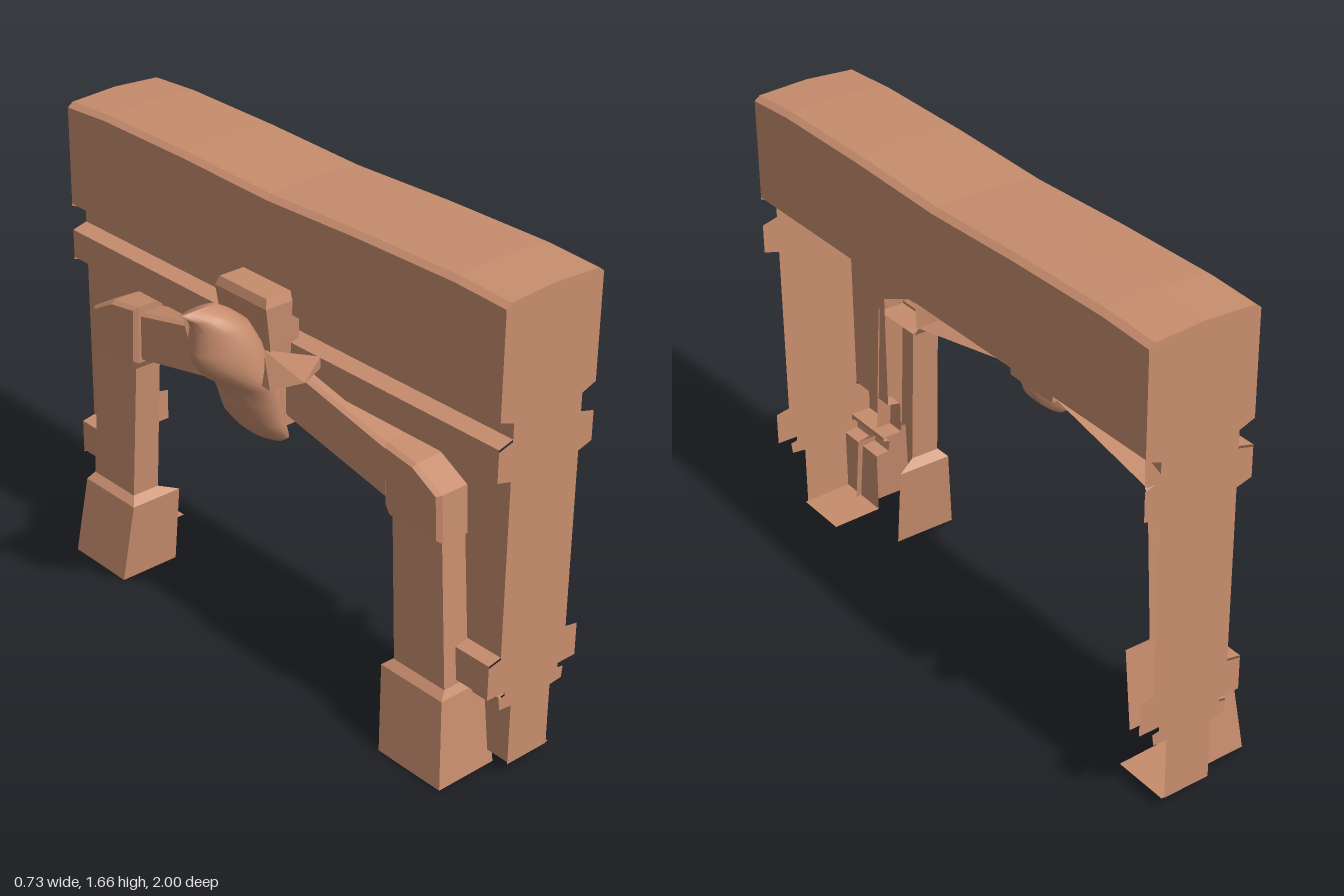
import * as THREE from 'three';
import { ConvexGeometry } from 'three/addons/geometries/ConvexGeometry.js';

const clay = new THREE.MeshStandardMaterial({ color: 0xc68c6d, side: THREE.DoubleSide });
clay.name = 'terracotta';

// Skin through rings of [x, y, z] points; closed rings wrap round, smooth skins share normals.
function loft(rings, { closed = false, smooth = false, capFirst = false, capLast = false } = {}) {
  const n = rings[0].length;
  const index = [];
  for (let i = 0; i < rings.length - 1; i++) {
    for (let j = 0; j < (closed ? n : n - 1); j++) {
      const a = i * n + j, b = i * n + (j + 1) % n;
      index.push(a, b, b + n, a, b + n, a + n);
    }
  }
  const last = (rings.length - 1) * n;
  for (let j = 1; j < n - 1; j++) {
    if (capFirst) index.push(0, j + 1, j);
    if (capLast) index.push(last, last + j, last + j + 1);
  }
  let g = new THREE.BufferGeometry();
  g.setAttribute('position', new THREE.Float32BufferAttribute(rings.flat(2), 3));
  g.setIndex(index);
  if (!smooth) g = g.toNonIndexed();
  g.computeVertexNormals();
  return g;
}

export function createModel() {
  const root = new THREE.Group();
  root.name = 'gateway';
  const add = (name, geometry) => {
    const m = new THREE.Mesh(geometry, clay);
    m.name = name;
    root.add(m);
    return m;
  };

  // Lintel and moulding: an open profile swept along z, with a gently sagging top
  const mid = 0.165;
  const crown = [[0.36, 1.63], [0.34, 1.645], [mid, 1.655], [-0.01, 1.645], [-0.03, 1.63]];
  const moulding = [[-0.03, 1.28], [0.025, 1.26], [0.025, 1.2], [-0.03, 1.185], [-0.03, 1.085], [0.025, 1.07]];
  const lintel = [[0.31, 1.26], [0.36, 1.28], ...crown, ...moulding];
  const zs = [-1, -0.8, -0.4, 0, 0.4, 0.8, 1];
  const rise = [-0.008, 0.003, 0, -0.012, 0, 0.003, -0.008];
  add('lintel', loft(zs.map((z, i) => lintel.map(([x, y]) => [x, y + (y > 1.5 ? rise[i] : 0), z]))));

  // Leg profile from the moulding to the base plate
  const legSide = [[0.025, 1.07], [0.025, 0.46], [-0.025, 0.45], [-0.025, 0.335], [0.05, 0.335],
    [0.05, 0.32], [0.025, 0.315], [0.03, 0.275], [0.08, 0.27], [0.08, 0.05]];
  const legProfile = [...legSide, [0.26, 0.045]];

  // End panel: outer silhouette of crown, mouldings and leg, mirrored about its middle
  const half = [...crown.slice(3), ...moulding, ...legSide.slice(1)];
  const mirrored = half.map(([x, y]) => [2 * mid - x, y]).reverse();
  const outline = new THREE.Shape([...half, ...mirrored, [mid, 1.655]].map(([x, y]) => new THREE.Vector2(x, y)));

  for (const s of [1, -1]) {
    const side = s > 0 ? 'front' : 'back';
    add(side + 'EndPanel', new THREE.ShapeGeometry(outline))
      .position.set(0, -0.008, s);
    add(side + 'LegWall', loft([s, 0.8 * s].map(z => legProfile.map(([x, y]) => [x, y, z]))));

    // Spandrel wall with its stepped arch edge
    const spandrel = [[0.8, 1.08], [0.8, 0.88], [0.5, 1.01], [0.23, 1.08]];
    add(side + 'Spandrel', loft([spandrel.map(([z, y]) => [0.025, y, z * s])], { capFirst: true }));

    // Hollow pillar: splayed foot, bevel and tapering shaft, open towards the wall
    const pillar = [
      // y, outer x, wall x, inner z, outer z
      [0, -0.13, 0.10, 0.65, 0.92],
      [0.295, -0.10, 0.10, 0.62, 0.885],
      [0.32, -0.075, 0.03, 0.65, 0.87],
      [0.83, -0.07, 0.03, 0.62, 0.83],
    ];
    add(side + 'Pillar', loft(pillar.map(([y, xf, xb, zi, zo]) =>
      [[xb, y, zi * s], [xf, y, zi * s], [xf, y, zo * s], [xb, y, zo * s]])));

    // Bevelled arch stones, open towards the wall
    const stone = (name, poly, xf) => {
      const cz = poly.reduce((t, p) => t + p[0], 0) / poly.length;
      const cy = poly.reduce((t, p) => t + p[1], 0) / poly.length;
      const ring = (x, k) => poly.map(([z, y]) => [x, cy + (y - cy) * k, (cz + (z - cz) * k) * s]);
      add(side + name, loft([ring(0.025, 1), ring(xf + 0.015, 1), ring(xf, 0.9)], { closed: true, capLast: true }));
    };
    stone('CornerStone', [[0.62, 0.82], [0.84, 0.82], [0.83, 0.98], [0.72, 1.04], [0.59, 1.06], [0.6, 0.85]], -0.09);
    stone('ArchBar', [[0.12, 0.955], [0.61, 0.855], [0.61, 1.03], [0.12, 1.14]], -0.07);

    // Ear
    const ear = [[-0.18, 1.1, 0.19], [-0.13, 1.15, 0.29], [-0.03, 1.19, 0.25], [-0.03, 1.15, 0.25],
      [-0.15, 1.08, 0.09], [-0.12, 1.18, 0.09], [-0.04, 1.13, 0.1]];
    add(side + 'Ear', new ConvexGeometry(ear.map(([x, y, z]) => new THREE.Vector3(x, y, z * s))));
  }

  // Keystone with a bevelled top
  const box = (y, xf, w) => [[0, y, w], [xf, y, w], [xf, y, -w], [0, y, -w]];
  add('keystone', loft([box(0.9, -0.06, 0.11), box(1.1, -0.11, 0.11), box(1.2, -0.115, 0.115),
    box(1.33, -0.135, 0.12), box(1.36, -0.125, 0.11)], { closed: true, capLast: true }));

  // Carved head: ellipse sections from the beard up to the pointed crest
  const head = [
    // y, front x, back x, half width
    [0.845, -0.09, -0.02, 0.10],
    [0.87, -0.115, -0.02, 0.13],
    [0.92, -0.155, -0.03, 0.135],
    [1.0, -0.185, -0.04, 0.135],
    [1.06, -0.215, -0.05, 0.135],
    [1.1, -0.27, -0.06, 0.13],
    [1.15, -0.31, -0.07, 0.12],
    [1.2, -0.325, -0.09, 0.11],
    [1.27, -0.315, -0.13, 0.09],
    [1.31, -0.335, -0.18, 0.055],
    [1.34, -0.365, -0.23, 0.02],
  ];
  const sides = 20;
  add('carvedHead', loft(head.map(([y, xf, xb, w]) => Array.from({ length: sides }, (_, i) => {
    const t = (i / sides) * Math.PI * 2;
    const c = Math.cos(t);
    return [(xf + xb) / 2 + (xb - xf) / 2 * c, y, w * Math.sin(t) * (1 + 0.2 * c)];
  })), { closed: true, smooth: true, capFirst: true, capLast: true }));

  return root;
}
